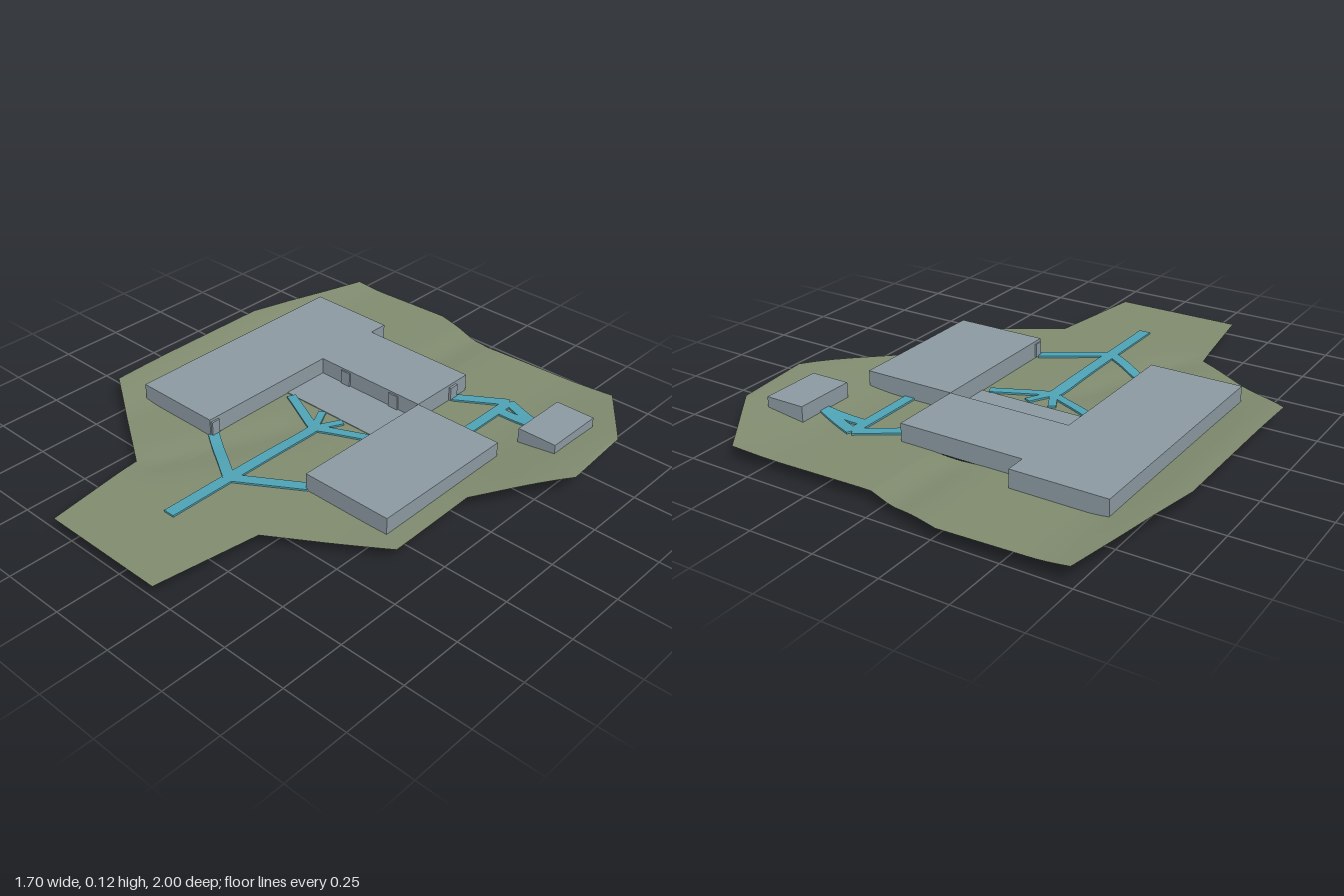
import * as THREE from 'three';

const mat = (name, color, side = THREE.FrontSide) => {
  const m = new THREE.MeshStandardMaterial({ color, side });
  m.name = name;
  return m;
};
const clamp = THREE.MathUtils.clamp;
const smooth = THREE.MathUtils.smoothstep;

// Gentle ground relief: raised east and west rims, shallow valleys
function groundHeight(x, z) {
  const east = 0.043 * smooth(x, 0.4, 0.84) * (1 - 0.75 * smooth(Math.abs(z + 0.4), 0.1, 0.75));
  const west = 0.033 * smooth(-x, 0.6, 0.85) * (1 - 0.4 * smooth(Math.abs(z + 0.2), 0.2, 0.8));
  const backValley = 0.012 * Math.exp(-(((x + 0.06) / 0.07) ** 2)) * smooth(-z, 0.5, 0.7);
  const cx = -0.14 - 0.4 * Math.max(z - 0.05, 0);
  const frontValley = 0.011 * Math.exp(-(((x - cx) / 0.08) ** 2))
    * smooth(z, -0.1, 0.1) * (1 - smooth(z, 0.5, 0.68));
  return 0.047 + east + west - backValley - frontValley;
}

// Ground outline, as back and front edges over x
const BACK = [[-0.85, -0.44], [-0.73, -0.98], [-0.27, -1], [0.04, -0.92], [0.62, -0.94], [0.82, -0.66], [0.845, -0.35]];
const FRONT = [[-0.85, 0.3], [-0.4, 0.59], [-0.34, 1], [0.17, 1], [0.23, 0.59], [0.619, 0.34], [0.62, -0.03], [0.845, -0.35]];

function edgeAt(line, x) {
  for (let i = 1; i < line.length; i++) {
    const [x0, z0] = line[i - 1], [x1, z1] = line[i];
    if (x <= x1) return z0 + ((z1 - z0) * (x - x0)) / (x1 - x0);
  }
  return line[line.length - 1][1];
}

// Building footprints: x0, x1, z0, z1
const WEST = [-0.685, -0.32, -0.675, 0.3];
const NORTH = [-0.32, 0.17, -0.595, -0.305];
const EAST = [0.17, 0.54, -0.305, 0.3];
const PAVILION = [0.54, 0.7, -0.675, -0.43];
const TERRACE = [-0.32, 0.17, -0.305, -0.105];
const FOOTPRINTS = [WEST, NORTH, EAST, PAVILION, TERRACE];

function gridLines(from, to, n, extra) {
  const all = [...extra];
  for (let i = 0; i <= n; i++) all.push(from + ((to - from) * i) / n);
  return all.sort((a, b) => a - b).filter((v, i, a) => i === 0 || v - a[i - 1] > 1e-6);
}

// Ground sheet with openings below the buildings
function groundGeometry() {
  const xs = gridLines(-0.85, 0.845, 44, [...FOOTPRINTS.flatMap(f => [f[0], f[1]]), ...BACK.map(p => p[0]), ...FRONT.map(p => p[0])]);
  const zs = gridLines(-1, 1, 50, FOOTPRINTS.flatMap(f => [f[2], f[3]]));
  const pos = [], index = [];
  for (const x of xs) {
    const back = edgeAt(BACK, x), front = edgeAt(FRONT, x);
    for (const z0 of zs) {
      const z = clamp(z0, back, front);
      pos.push(x, groundHeight(x, z), z);
    }
  }
  const n = zs.length;
  for (let i = 0; i < xs.length - 1; i++) {
    for (let j = 0; j < n - 1; j++) {
      const mx = (xs[i] + xs[i + 1]) / 2, mz = (zs[j] + zs[j + 1]) / 2;
      if (FOOTPRINTS.some(f => mx > f[0] && mx < f[1] && mz > f[2] && mz < f[3])) continue;
      const a = i * n + j, b = a + n;
      index.push(a, a + 1, b, b, a + 1, b + 1);
    }
  }
  const g = new THREE.BufferGeometry();
  g.setAttribute('position', new THREE.Float32BufferAttribute(pos, 3));
  g.setIndex(index);
  g.computeVertexNormals();
  return g;
}

export function createModel() {
  const group = new THREE.Group();
  const wall = mat('concrete grey', 0x8b99a1);
  const grass = mat('grass green', 0x808b6f, THREE.DoubleSide);
  const paving = mat('path blue', 0x4fa3b5);
  const timber = mat('stair orange', 0xd0903c);

  const add = (name, geometry, material) => {
    const m = new THREE.Mesh(geometry, material);
    m.name = name;
    group.add(m);
    return m;
  };
  const block = (name, [x0, x1, z0, z1], y0, y1, material = wall) => {
    const m = add(name, new THREE.BoxGeometry(x1 - x0, y1 - y0, z1 - z0), material);
    m.position.set((x0 + x1) / 2, (y0 + y1) / 2, (z0 + z1) / 2);
  };

  add('ground', groundGeometry(), grass);

  // Upper storey
  block('westWing', WEST, 0.045, 0.116);
  block('northWing', NORTH, 0.045, 0.116);
  block('eastWing', EAST, 0.045, 0.116);
  block('pavilion', PAVILION, 0.045, 0.116);

  // Lower storey
  block('terrace', TERRACE, 0, 0.05);
  block('westBasement', [-0.685, -0.5, -0.49, -0.105], 0, 0.046);
  block('innerBasement', [-0.5, -0.32, -0.455, -0.14], 0, 0.046);

  // Doors
  for (const x of [-0.195, 0.05]) block('courtyardDoor', [x - 0.022, x + 0.022, -0.305, -0.299], 0.05, 0.108);
  block('westDoor', [-0.345, -0.312, 0.26, 0.295], 0.05, 0.105);
  block('eastDoor', [0.164, 0.197, 0.26, 0.295], 0.05, 0.105);
  block('northDoor', [0.15, 0.18, -0.53, -0.49], 0.05, 0.105);

  // Stairs climbing away from the lower storey
  const stair = (name, xStart, xEnd, z0, z1) => {
    const steps = 8, s = new THREE.Shape();
    s.moveTo(xStart, 0);
    for (let i = 0; i < steps; i++) {
      const y = (0.046 * (i + 1)) / steps;
      s.lineTo(xStart + ((xEnd - xStart) * i) / steps, y);
      s.lineTo(xStart + ((xEnd - xStart) * (i + 1)) / steps, y);
    }
    s.lineTo(xEnd, 0);
    const g = new THREE.ExtrudeGeometry(s, { depth: z1 - z0, bevelEnabled: false });
    add(name, g.translate(0, 0, z0), timber);
  };
  stair('eastStair', 0.172, 0.355, -0.14, -0.105);
  stair('westStair', -0.322, -0.5, -0.14, -0.105);
  stair('backStair', -0.322, -0.5, -0.49, -0.455);

  // Paths draped over the ground
  const path = (x0, z0, x1, z1, width = 0.042) => {
    const len = Math.hypot(x1 - x0, z1 - z0);
    const g = new THREE.BoxGeometry(len, 0.008, width, 12, 1, 2);
    g.rotateY(-Math.atan2(z1 - z0, x1 - x0));
    g.translate((x0 + x1) / 2, 0.003, (z0 + z1) / 2);
    const p = g.attributes.position;
    for (let i = 0; i < p.count; i++) p.setY(i, p.getY(i) + groundHeight(p.getX(i), p.getZ(i)));
    g.computeVertexNormals();
    add('path', g, paving);
  };
  path(-0.073, -0.02, -0.073, 0.72, 0.046);
  for (const [x, w] of [[-0.29, 0.036], [-0.125, 0.03], [-0.02, 0.03], [0.145, 0.036]]) path(-0.073, 0.005, x, -0.095, w);
  path(-0.073, 0.44, -0.32, 0.285);
  path(-0.073, 0.44, 0.17, 0.285);
  path(0.355, -0.63, 0.355, -0.305);
  path(0.17, -0.512, 0.355, -0.632);
  path(0.355, -0.632, 0.54, -0.56);
  path(0.355, -0.558, 0.54, -0.558);

  return group;
}
